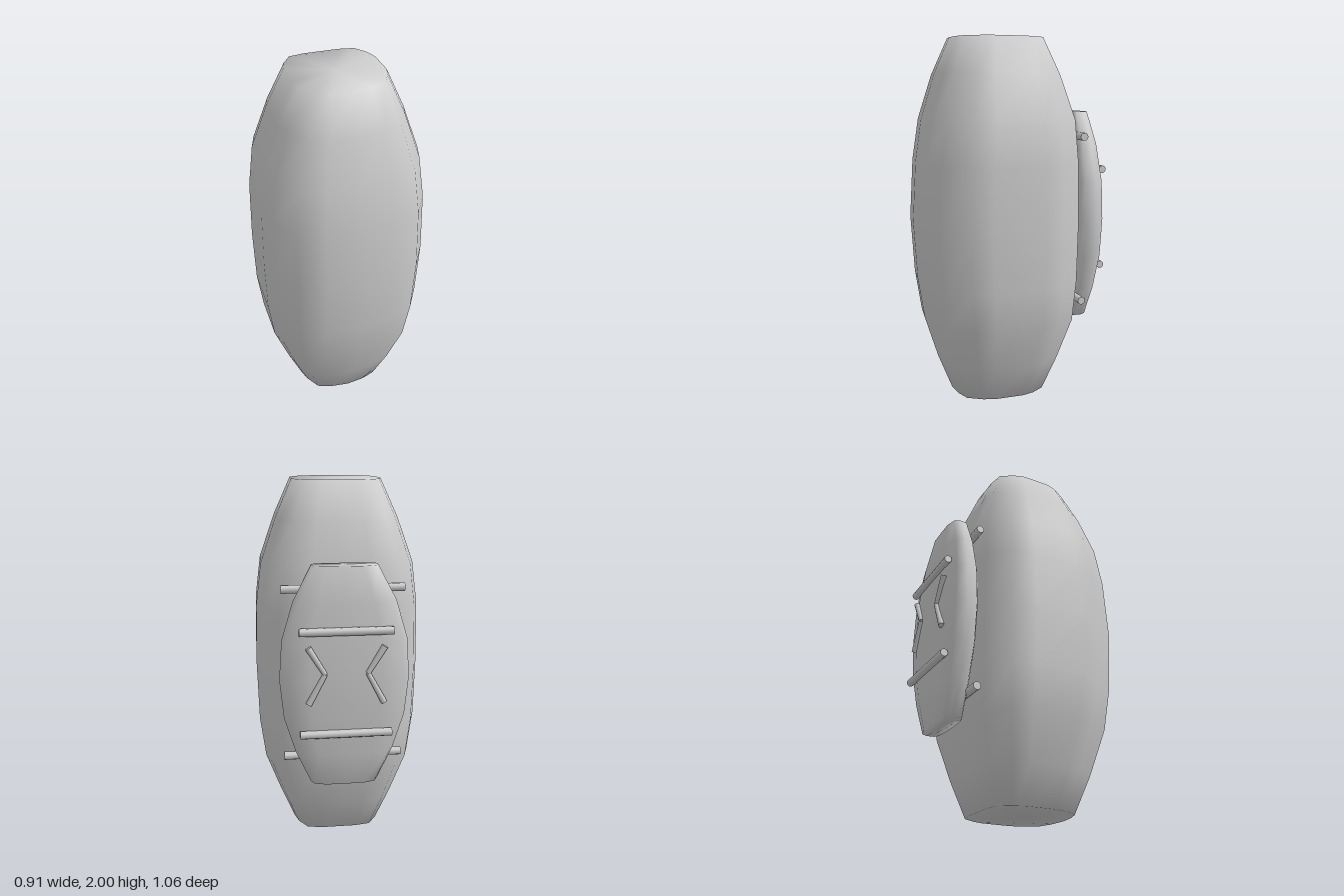
import * as THREE from 'three';

const material = new THREE.MeshStandardMaterial({ color: 0xcccccc });

// Closed smooth loft along y. half: [x 0..1, z 0 (back)..1 (front)] from front to back;
// rows: [y, half width, back z, front z] from bottom to top.
function loft(name, half, rows) {
  const ring = [...half, ...half.slice(1, -1).reverse().map(([x, t]) => [-x, t])];
  const n = ring.length, pos = [], idx = [];
  for (const [y, w, back, front] of rows) {
    for (const [x, t] of ring) pos.push(x * w, y, back + t * (front - back));
  }
  for (let i = 0; i < rows.length - 1; i++) {
    for (let j = 0; j < n; j++) {
      const a = i * n + j, b = i * n + (j + 1) % n;
      idx.push(a, b, b + n, a, b + n, a + n);
    }
  }
  // end caps
  const last = rows.length - 1, c = rows.length * n;
  for (const r of [rows[0], rows[last]]) pos.push(0, r[0], (r[2] + r[3]) / 2);
  for (let j = 0; j < n; j++) {
    const k = (j + 1) % n;
    idx.push(c, k, j, c + 1, last * n + j, last * n + k);
  }
  const g = new THREE.BufferGeometry();
  g.setAttribute('position', new THREE.Float32BufferAttribute(pos, 3));
  g.setIndex(idx);
  g.computeVertexNormals();
  const mesh = new THREE.Mesh(g, material);
  mesh.name = name;
  return mesh;
}

// Round rod between two points
function rod(name, from, to, r0, r1 = r0) {
  const a = new THREE.Vector3(...from), b = new THREE.Vector3(...to);
  const dir = b.clone().sub(a);
  const mesh = new THREE.Mesh(new THREE.CylinderGeometry(r1, r0, dir.length(), 10), material);
  mesh.position.copy(a).add(b).multiplyScalar(0.5);
  mesh.quaternion.setFromUnitVectors(new THREE.Vector3(0, 1, 0), dir.normalize());
  mesh.name = name;
  return mesh;
}

export function createModel() {
  const model = new THREE.Group();
  model.name = 'barrelWithBackPack';

  // Barrel-shaped body with a rounded-square section
  model.add(loft('body',
    [[0, 1], [0.42, 0.975], [0.73, 0.92], [0.92, 0.76], [1, 0.63],
      [1, 0.3], [0.92, 0.17], [0.73, 0.03], [0.38, 0], [0, 0]],
    [[0, 0.25, -0.19, 0.32], [0.2, 0.33, -0.26, 0.4], [0.44, 0.415, -0.33, 0.475],
      [0.67, 0.445, -0.345, 0.51], [1, 0.453, -0.35, 0.53], [1.33, 0.445, -0.345, 0.51],
      [1.56, 0.415, -0.33, 0.475], [1.8, 0.33, -0.26, 0.4], [2, 0.24, -0.18, 0.31]]));

  // Padded pack on the back
  model.add(loft('backPack',
    [[0, 1], [0.6, 0.97], [0.88, 0.9], [0.97, 0.8], [1, 0.45],
      [0.9, 0.16], [0.55, 0.01], [0, 0]],
    [[0.42, 0.18, -0.465, -0.35], [0.6, 0.26, -0.487, -0.345], [0.8, 0.32, -0.503, -0.338],
      [1.01, 0.34, -0.507, -0.335], [1.22, 0.325, -0.503, -0.338],
      [1.42, 0.265, -0.487, -0.345], [1.6, 0.17, -0.46, -0.35]]));

  // Mounting rods between body and pack
  for (const y of [0.55, 1.47]) {
    model.add(rod('mountingRod', [-0.32, y, -0.355], [0.32, y, -0.355], 0.022));
  }

  // Crossbars on the outer face of the pack
  for (const y of [0.73, 1.28]) {
    model.add(rod('crossbar', [-0.24, y, -0.505], [0.24, y, -0.505], 0.021));
  }

  // Pair of inward-pointing chevrons between the crossbars
  for (const s of [-1, 1]) {
    const chevron = new THREE.Group();
    chevron.name = s > 0 ? 'leftChevron' : 'rightChevron';
    const tip = [s * 0.11, 1.06, -0.51];
    chevron.add(rod('upperArm', tip, [s * 0.195, 1.2, -0.508], 0.013, 0.017));
    chevron.add(rod('lowerArm', tip, [s * 0.195, 0.9, -0.508], 0.013, 0.017));
    model.add(chevron);
  }
  return model;
}
